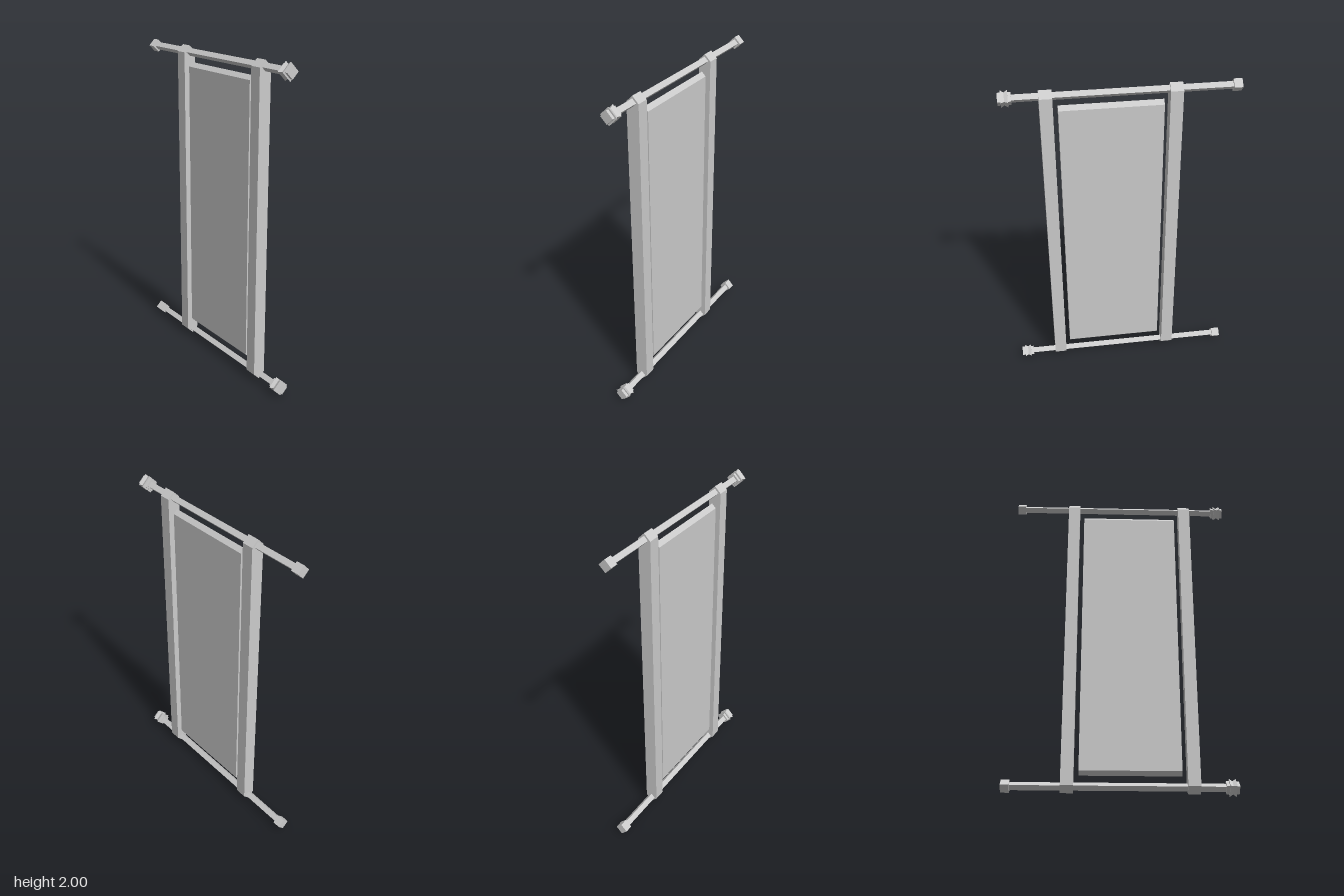
import * as THREE from 'three';

const LOW = 0.053, HIGH = 1.947; // heights of the two rod axes
const material = new THREE.MeshStandardMaterial({ color: 0xcccccc, flatShading: true });

function add(parent, name, geometry) {
  const mesh = new THREE.Mesh(geometry, material);
  mesh.name = name;
  parent.add(mesh);
  return mesh;
}

// Four-sided bar along x, standing on edge, tapering from radius r0 to r1
function diamondBar(x0, x1, r0, r1 = r0) {
  return new THREE.CylinderGeometry(r0, r1, x1 - x0, 4)
    .rotateZ(Math.PI / 2)
    .translate((x0 + x1) / 2, 0, 0);
}

// Upright slab whose top and bottom ends come to a ridge along x
function ridgedSlab(x0, x1, y0, y1, half) {
  const section = new THREE.Shape([
    [0, y0], [half, y0 + half], [half, y1 - half],
    [0, y1], [-half, y1 - half], [-half, y0 + half],
  ].map(([z, y]) => new THREE.Vector2(z, y)));
  return new THREE.ExtrudeGeometry(section, { depth: x1 - x0, bevelEnabled: false })
    .rotateY(Math.PI / 2)
    .translate(x0, 0, 0);
}

function createRod(name, y) {
  const rod = new THREE.Group();
  rod.name = name;
  rod.position.y = y;
  add(rod, 'shaft', diamondBar(-0.67, 0.65, 0.024));
  add(rod, 'endCap', diamondBar(-0.688, -0.637, 0.039));
  // Finial: a block with a flared collar round it
  add(rod, 'finialBlock', diamondBar(0.612, 0.688, 0.039));
  add(rod, 'collarInner', diamondBar(0.63, 0.65, 0.053, 0.039));
  add(rod, 'collarOuter', diamondBar(0.65, 0.67, 0.039, 0.053));
  return rod;
}

export function createModel() {
  const model = new THREE.Group();
  model.name = 'framedPanel';

  model.add(createRod('topRod', HIGH), createRod('bottomRod', LOW));

  // Posts wrap the rods at both ends
  add(model, 'rightPost', ridgedSlab(-0.347, -0.272, LOW - 0.039, HIGH + 0.039, 0.039));
  add(model, 'leftPost', ridgedSlab(0.389, 0.464, LOW - 0.039, HIGH + 0.039, 0.039));

  // Free panel between the posts
  add(model, 'panel', ridgedSlab(-0.243, 0.36, 0.117, 1.888, 0.025));

  return model;
}

// Each bar's wide end: CylinderGeometry's top radius lands on the -x side after the turn,
// so the collar halves are mirrored here by radius order.
